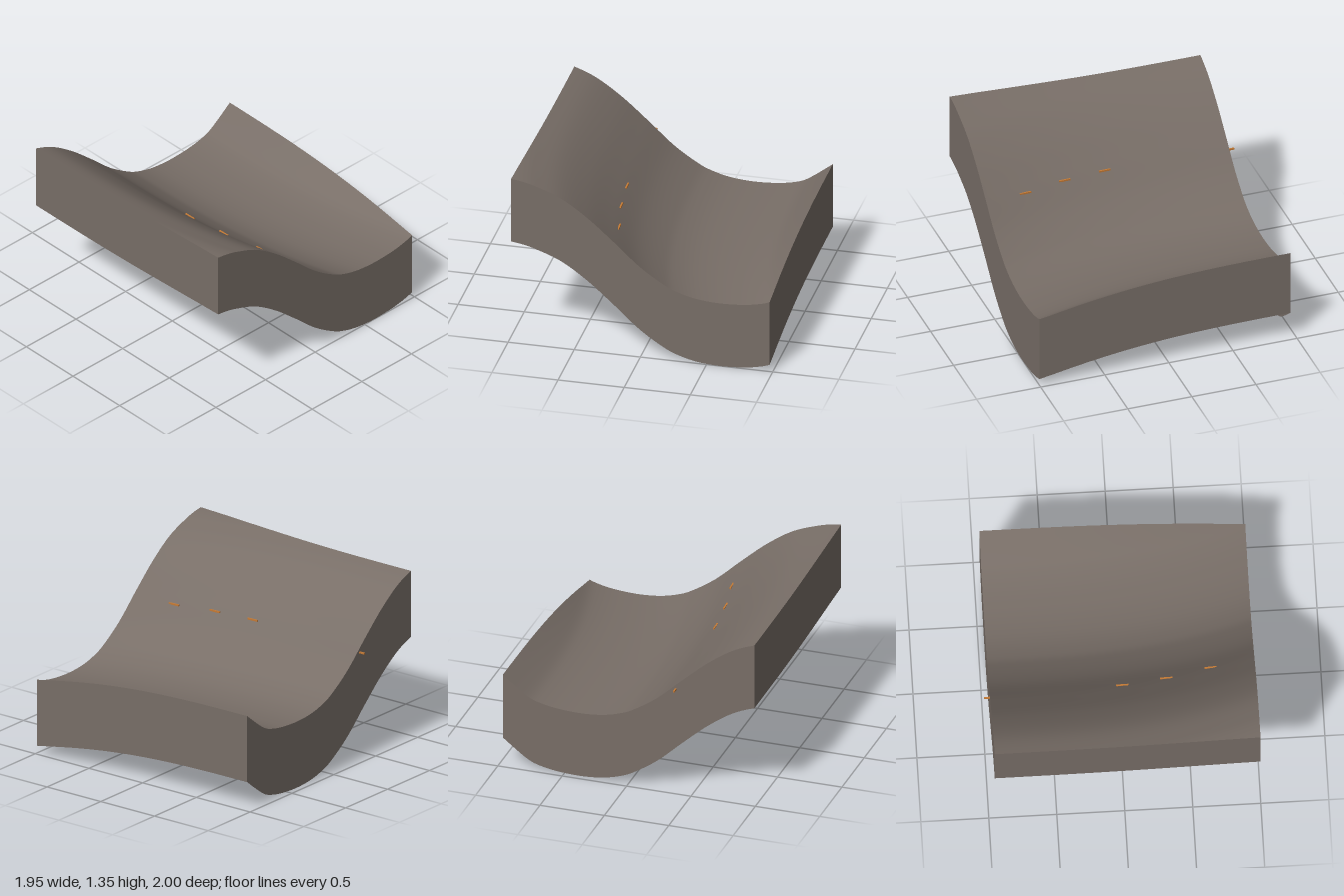
import * as THREE from 'three';

const HALF_X = 0.977, FRONT = 1, BACK = -0.955, DEPTH = 0.517, STEPS = 80;

// Height profile across the slope, as [x, y] at the front edge
const PROFILE = [
  [-0.98, 1.355], [-0.9, 1.343], [-0.8, 1.317], [-0.6, 1.237], [-0.4, 1.1],
  [-0.2, 0.925], [0, 0.742], [0.2, 0.607], [0.3, 0.565], [0.4, 0.538],
  [0.5, 0.524], [0.6, 0.519], [0.7, 0.522], [0.8, 0.531], [0.9, 0.55],
  [0.98, 0.577], [1.07, 0.637], [1.2, 0.738],
];

// Smooth cubic interpolation of the profile
function profile(u) {
  const p = PROFILE, last = p.length - 1;
  let i = 0;
  while (i < last - 1 && u > p[i + 1][0]) i++;
  const slope = (k) => {
    const a = p[Math.max(k - 1, 0)], b = p[Math.min(k + 1, last)];
    return (b[1] - a[1]) / (b[0] - a[0]);
  };
  const w = p[i + 1][0] - p[i][0];
  const t = (u - p[i][0]) / w, t2 = t * t, t3 = t2 * t;
  return (2 * t3 - 3 * t2 + 1) * p[i][1] + (t3 - 2 * t2 + t) * w * slope(i)
    + (3 * t2 - 2 * t3) * p[i + 1][1] + (t3 - t2) * w * slope(i + 1);
}

// The slope bends sideways towards the back
function height(x, z) {
  const t = Math.min(1, Math.max(0, (FRONT - z) / (FRONT - BACK)));
  return profile(x + 0.22 * (1 - Math.pow(1 - t, 2.8)));
}

function addMesh(group, name, geometry, material) {
  const mesh = new THREE.Mesh(geometry, material);
  mesh.name = name;
  group.add(mesh);
  return mesh;
}

// Curved ground surface
function groundGeometry() {
  const g = new THREE.PlaneGeometry(2 * HALF_X, FRONT - BACK, STEPS, STEPS);
  g.rotateX(-Math.PI / 2).translate(0, 0, (FRONT + BACK) / 2);
  const pos = g.attributes.position;
  for (let i = 0; i < pos.count; i++) pos.setY(i, height(pos.getX(i), pos.getZ(i)));
  g.computeVertexNormals();
  return g;
}

// Skirt wall of constant depth hanging below one edge, from a to b
function wallGeometry([ax, az], [bx, bz]) {
  const g = new THREE.PlaneGeometry(1, 1, STEPS, 1);
  const pos = g.attributes.position;
  for (let i = 0; i < pos.count; i++) {
    const t = pos.getX(i) + 0.5;
    const x = ax + (bx - ax) * t, z = az + (bz - az) * t;
    pos.setXYZ(i, x, height(x, z) - (pos.getY(i) > 0 ? 0 : DEPTH), z);
  }
  g.computeVertexNormals();
  return g;
}

export function createModel() {
  const group = new THREE.Group();
  group.name = 'terrainBlock';
  const earth = new THREE.MeshStandardMaterial({ color: 0x786e67, side: THREE.DoubleSide });
  earth.name = 'earth';
  const orange = new THREE.MeshStandardMaterial({ color: 0xc47a35 });
  orange.name = 'orange';

  addMesh(group, 'ground', groundGeometry(), earth);

  // Four walls, open underneath
  const corners = [[-HALF_X, FRONT], [HALF_X, FRONT], [HALF_X, BACK], [-HALF_X, BACK]];
  ['frontWall', 'leftWall', 'backWall', 'rightWall'].forEach((name, i) => {
    addMesh(group, name, wallGeometry(corners[i], corners[(i + 1) % 4]), earth);
  });

  // Dashes marking the path along the slope; the last juts from the back wall
  const dash = new THREE.BoxGeometry(0.012, 0.012, 0.09);
  [[-0.24, 0.675, 0.05], [-0.305, 0.345, 0.03], [-0.34, 0.02, 0.02]].forEach(([x, z, yaw]) => {
    const mesh = addMesh(group, 'pathDash', dash, orange);
    mesh.position.set(x, height(x, z) + 0.003, z);
    mesh.rotation.y = yaw;
  });
  addMesh(group, 'backDash', dash, orange).position.set(-0.367, 0.842, -0.955);

  return group;
}
